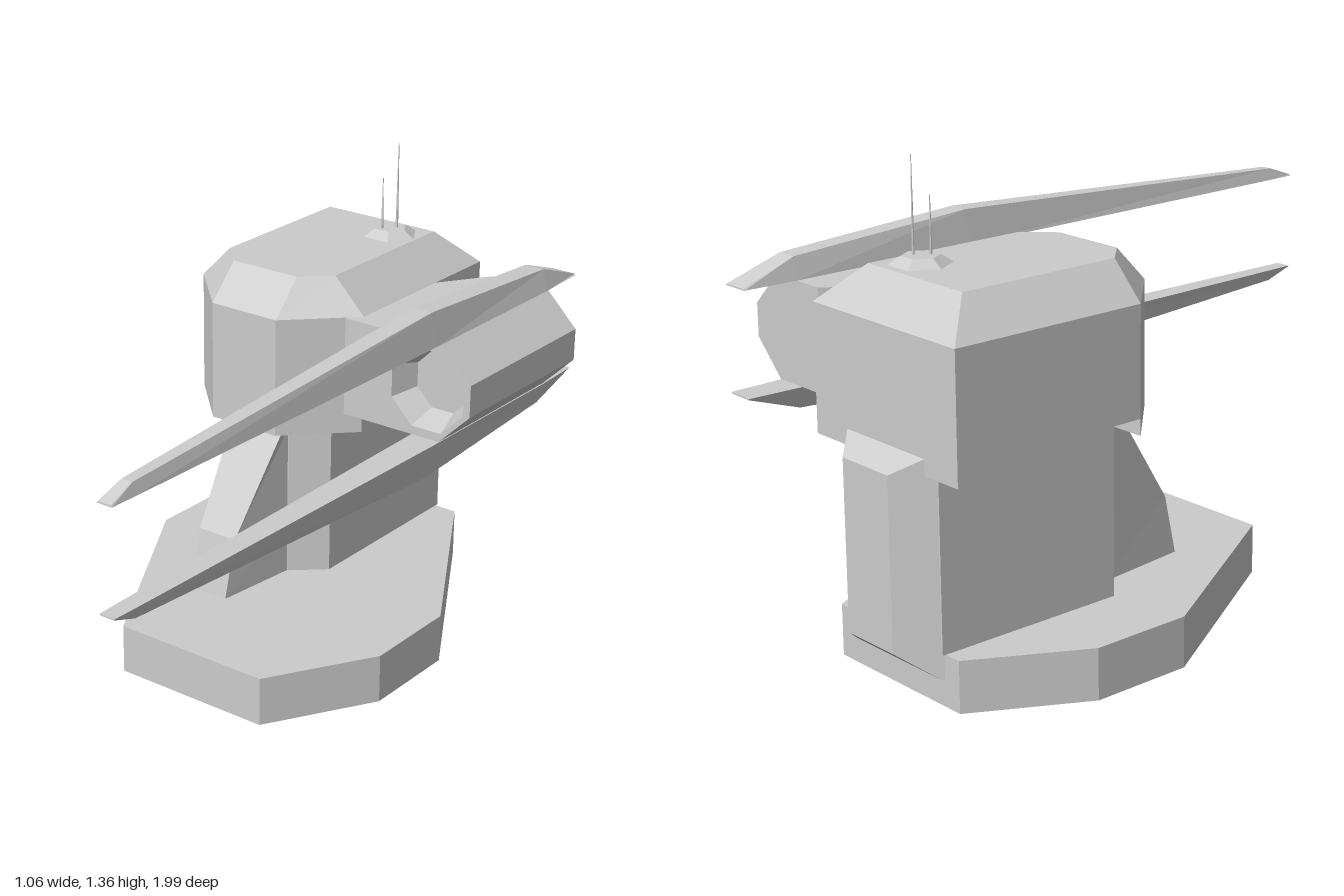
import * as THREE from 'three';

const mat = new THREE.MeshStandardMaterial({ color: 0xcccccc, flatShading: true });
const matDouble = new THREE.MeshStandardMaterial({ color: 0xcccccc, flatShading: true, side: THREE.DoubleSide });

// Skins convex cross-sections (equal point counts) and caps both ends.
function loft(sections) {
  const tris = [];
  const n = sections[0].length;
  for (let s = 0; s < sections.length - 1; s++) {
    for (let i = 0; i < n; i++) {
      const j = (i + 1) % n;
      const [a, b, c, d] = [sections[s][i], sections[s][j], sections[s + 1][j], sections[s + 1][i]];
      tris.push([a, b, c], [a, c, d]);
    }
  }
  const last = sections[sections.length - 1];
  for (let i = 1; i < n - 1; i++) {
    tris.push([sections[0][0], sections[0][i + 1], sections[0][i]], [last[0], last[i], last[i + 1]]);
  }
  // Signed volume decides whether the winding must be turned round
  let volume = 0;
  const [u, v, w] = [new THREE.Vector3(), new THREE.Vector3(), new THREE.Vector3()];
  for (const [a, b, c] of tris) volume += u.set(...a).dot(v.set(...b).cross(w.set(...c)));
  if (volume < 0) tris.forEach((t) => t.reverse());
  const geo = new THREE.BufferGeometry();
  geo.setAttribute('position', new THREE.Float32BufferAttribute(tris.flat(2), 3));
  geo.computeVertexNormals();
  return geo;
}

// Plan outline [x, z] at height y
const plan = (pts, y) => pts.map(([x, z]) => [x, y, z]);
const prism = (pts, y0, y1) => loft([plan(pts, y0), plan(pts, y1)]);

const polygon = (n, r, cx, cy, start = 0) => Array.from({ length: n }, (_, i) => {
  const a = start + (i / n) * Math.PI * 2;
  return new THREE.Vector2(cx + r * Math.cos(a), cy + r * Math.sin(a));
});

export function createModel() {
  const model = new THREE.Group();
  const add = (name, geo, material = mat) => {
    const mesh = new THREE.Mesh(geo, material);
    mesh.name = name;
    model.add(mesh);
    return mesh;
  };

  // Base plate
  add('basePlate', prism([[-0.53, -0.59], [-0.53, -0.3], [-0.19, 0.29], [0.285, 0.29],
    [0.463, -0.01], [0.463, -0.3], [0.12, -0.89], [-0.36, -0.89]], 0.05, 0.19));

  // Hollow hexagonal collar under the plate
  const collar = new THREE.Shape(polygon(6, 0.262, 0.107, -0.015));
  collar.holes.push(new THREE.Path(polygon(6, 0.225, 0.107, -0.015)));
  const collarGeo = new THREE.ExtrudeGeometry(collar, { depth: 0.05, bevelEnabled: false });
  add('baseCollar', collarGeo.rotateX(Math.PI / 2).translate(0, 0.05, 0));

  // Column with chamfered front corners
  add('column', prism([[-0.31, -0.9], [-0.31, -0.34], [-0.22, -0.26], [-0.04, -0.26],
    [0.05, -0.34], [0.05, -0.9]], 0.19, 0.72));

  // Tapering front buttress
  add('frontButtress', loft([[0.19, -0.01, 0.06], [0.36, -0.05, 0.063], [0.66, -0.25, 0.09]]
    .map(([y, z, h]) => plan([[-0.13 - h, z], [-0.13 + h, z], [-0.04, -0.28], [-0.22, -0.28]], y))));

  // Bevelled panel on the back of the column
  const panel = (x0, x1, y0, y1, z) => [[x0, y0, z], [x1, y0, z], [x1, y1, z], [x0, y1, z]];
  add('backPanel', loft([panel(-0.31, 0.05, 0.12, 0.71, -0.895), panel(-0.22, -0.04, 0.19, 0.65, -0.983)]));

  // Head: chamfered front, sloping roof
  const headPlan = [[-0.41, -0.92], [-0.41, -0.34], [-0.24, -0.17], [-0.02, -0.17], [0.153, -0.34], [0.153, -0.92]];
  const roofPlan = [[-0.315, -0.82], [-0.315, -0.34], [-0.24, -0.265], [-0.02, -0.265], [0.055, -0.34], [0.055, -0.82]];
  add('head', loft([plan(headPlan, 0.695), plan(headPlan, 0.992), plan(roofPlan, 1.09)]));
  add('headFrontSkirt', prism(headPlan.slice(1, 5), 0.65, 0.695));
  add('headBackSkirt', prism([[-0.41, -0.92], [-0.41, -0.82], [0.153, -0.82], [0.153, -0.92]], 0.65, 0.695));

  // Side pod: front shell with an octagonal recess, then a solid body
  const podOutline = (x) => [[x, 0.71], [0.435, 0.71], [0.53, 0.805], [0.53, 0.897], [0.435, 0.992], [x, 0.992]];
  const depth = 0.08;
  const face = new THREE.Shape(podOutline(0.12).map((p) => new THREE.Vector2(...p)));
  face.holes.push(new THREE.Path(polygon(8, 0.1245, 0.393, 0.85, Math.PI / 8)));
  add('podFront', new THREE.ExtrudeGeometry(face, { depth, bevelEnabled: false }).translate(0, 0, -0.3 - depth));
  add('podBody', loft([[0.12, -0.3 - depth], [0.12, -0.64], [0.25, -0.835]]
    .map(([x, z]) => podOutline(x).map(([px, py]) => [px, py, z]))));
  const funnel = new THREE.CylinderGeometry(0.1245, 0.092, depth, 8, 1, true, Math.PI / 8);
  add('podRecess', funnel.rotateX(Math.PI / 2).translate(0.393, 0.85, -0.3 - depth / 2), matDouble);

  // Long rails above and below the pod: z, half width at root, half width at crest, height
  const railStations = [[1, 0.023, 0.02, 0.004], [0.92, 0.025, 0.016, 0.033], [-0.27, 0.045, 0.029, 0.095],
    [-0.83, 0.047, 0.03, 0.06], [-0.99, 0.041, 0.037, 0.004]];
  for (const side of [1, -1]) {
    const y = 0.85 + side * 0.142;
    add(side > 0 ? 'upperRail' : 'lowerRail', loft(railStations.map(([z, root, crest, h]) => [
      [0.39 - root, y, z], [0.39 + root, y, z], [0.39 + crest, y + side * h, z], [0.39 - crest, y + side * h, z]])));
  }

  // Antenna mount and two thin masts
  const mount = new THREE.CylinderGeometry(0.05, 0.083, 0.022, 6, 1, false, Math.PI / 6 * 3);
  add('antennaMount', mount.translate(-0.033, 1.1, -0.725));
  for (const [name, x, z, top] of [['longAntenna', -0.015, -0.733, 1.36], ['shortAntenna', -0.043, -0.7, 1.26]]) {
    const h = top - 1.1;
    add(name, new THREE.CylinderGeometry(0.001, 0.004, h, 6).translate(x, 1.1 + h / 2, z));
  }
  return model;
}
